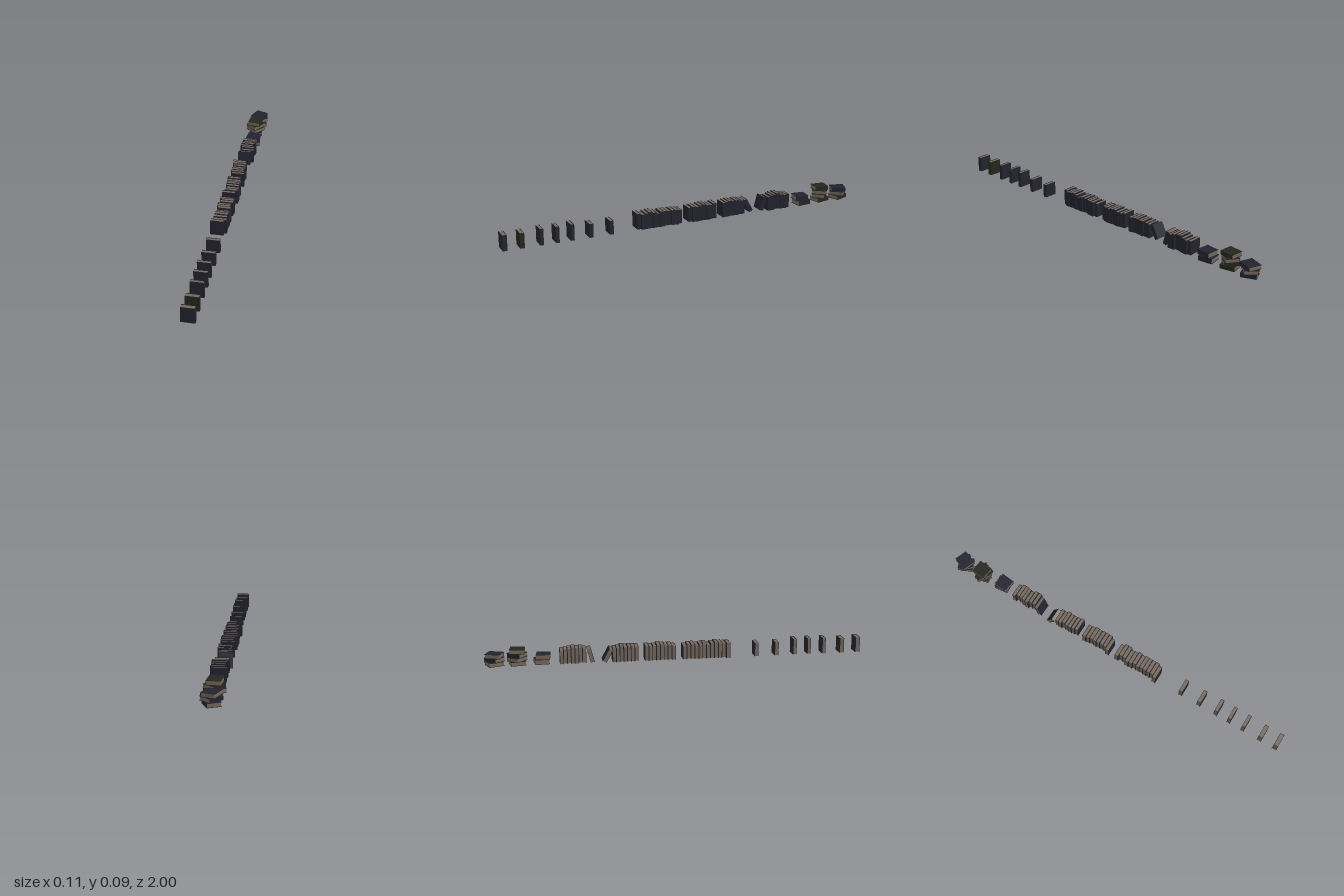
import * as THREE from 'three';

const mat = (name, color) => Object.assign(new THREE.MeshStandardMaterial({ color }), { name });

export function createModel() {
  const navy = mat('navyCover', 0x23232f);
  const olive = mat('oliveCover', 0x25261f);
  const paper = mat('paper', 0x75675b);
  const model = new THREE.Group();
  model.name = 'bookRow';

  // One upright book: covers face +-z, spine at +x, base at y = 0
  function book(name, t, h, d, cover = navy) {
    const g = new THREE.Group();
    g.name = name;
    const c = 0.002, lip = 0.002;
    const part = (n, m, sx, sy, sz, x, z) => {
      const mesh = new THREE.Mesh(new THREE.BoxGeometry(sx, sy, sz), m);
      mesh.name = n;
      mesh.position.set(x, h / 2, z);
      g.add(mesh);
    };
    part('frontCover', cover, d, h, c, 0, (t - c) / 2);
    part('backCover', cover, d, h, c, 0, (c - t) / 2);
    part('spine', cover, c, h, t - 2 * c, (d - c) / 2, 0);
    part('pages', paper, d - c - lip, h - 2 * lip, t - 2 * c, (lip - c) / 2, 0);
    return g;
  }

  // Books standing apart: [z, thickness, height]
  [[0.988, 0.024, 0.083], [0.9, 0.023, 0.08], [0.8, 0.018, 0.086], [0.718, 0.018, 0.085],
    [0.64, 0.019, 0.085], [0.54, 0.021, 0.073], [0.43, 0.02, 0.073]].forEach(([z, t, h], i) => {
    const b = book('singleBook', t, h, 0.07, i === 1 ? olive : navy);
    b.position.z = z;
    model.add(b);
  });

  // Packed rows, filled from the front end to the back: books are [height, x offset]
  const row = (name, front, back, books) => {
    const g = new THREE.Group();
    g.name = name;
    const pitch = (front - back) / books.length;
    books.forEach(([h, x], i) => {
      const b = book('rowBook', pitch - 0.0008, h, 0.07);
      b.position.set(x, 0, front - pitch * (i + 0.5));
      g.add(b);
    });
    model.add(g);
  };
  row('firstRow', 0.285, 0.033, [[0.083, -0.012], [0.08, 0], [0.084, -0.002], [0.087, -0.003],
    [0.082, 0], [0.074, -0.002], [0.083, 0], [0.081, -0.006], [0.077, -0.008], [0.081, 0.001],
    [0.08, 0.003], [0.074, -0.007]]);
  row('secondRow', -0.005, -0.168, [[0.077, -0.008], [0.081, 0.002], [0.08, 0.004], [0.084, 0.002],
    [0.086, 0], [0.08, 0.003], [0.078, -0.002], [0.082, -0.006]]);
  row('thirdRow', -0.202, -0.338, [[0.08, 0.004], [0.082, 0], [0.083, -0.003], [0.08, -0.002],
    [0.083, 0.001], [0.077, -0.006], [0.076, -0.004]]);
  row('fourthRow', -0.474, -0.612, [[0.076, 0.01], [0.082, 0.008], [0.083, -0.002], [0.086, 0],
    [0.08, 0.006], [0.075, 0.008], [0.074, -0.002]]);

  // Books leaning on the neighbouring row: base z, thickness, height, x, angle
  [[-0.382, 0.022, 0.076, -0.012, 0.5], [-0.441, 0.021, 0.076, -0.003, -0.27]].forEach(([z, t, h, x, a]) => {
    const b = book('leaningBook', t, h, 0.07);
    b.rotation.x = a;
    b.position.set(x, (t / 2) * Math.sin(Math.abs(a)), z);
    model.add(b);
  });

  // Flat stacks, bottom to top: books are [thickness, height, depth, turn, x, z offset]
  const stack = (name, z, cover, books) => {
    const g = new THREE.Group();
    g.name = name;
    let y = 0;
    for (const [t, h, d, turn, x, dz] of books) {
      const b = book('flatBook', t, h, d, cover);
      b.rotation.x = -Math.PI / 2;
      b.position.set(0, t / 2, h / 2);
      const pivot = new THREE.Group();
      pivot.name = 'flatBookTurn';
      pivot.add(b);
      pivot.rotation.y = turn;
      pivot.position.set(x, y, z + dz);
      g.add(pivot);
      y += t;
    }
    model.add(g);
  };
  stack('smallStack', -0.7, navy, [[0.026, 0.076, 0.07, 0.12, 0.008, -0.004], [0.027, 0.072, 0.07, -0.1, 0.006, 0.004]]);
  stack('tallStack', -0.829, olive, [[0.022, 0.078, 0.07, 0.2, 0, 0],
    [0.021, 0.08, 0.072, 0.85, -0.004, 0], [0.021, 0.08, 0.07, 2.5, -0.001, 0], [0.023, 0.076, 0.07, -0.1, -0.004, 0]]);
  stack('endStack', -0.946, navy, [[0.022, 0.08, 0.07, 0.4, 0, 0],
    [0.021, 0.08, 0.07, 2.4, 0.001, 0], [0.022, 0.08, 0.07, -0.35, 0, 0]]);

  return model;
}
